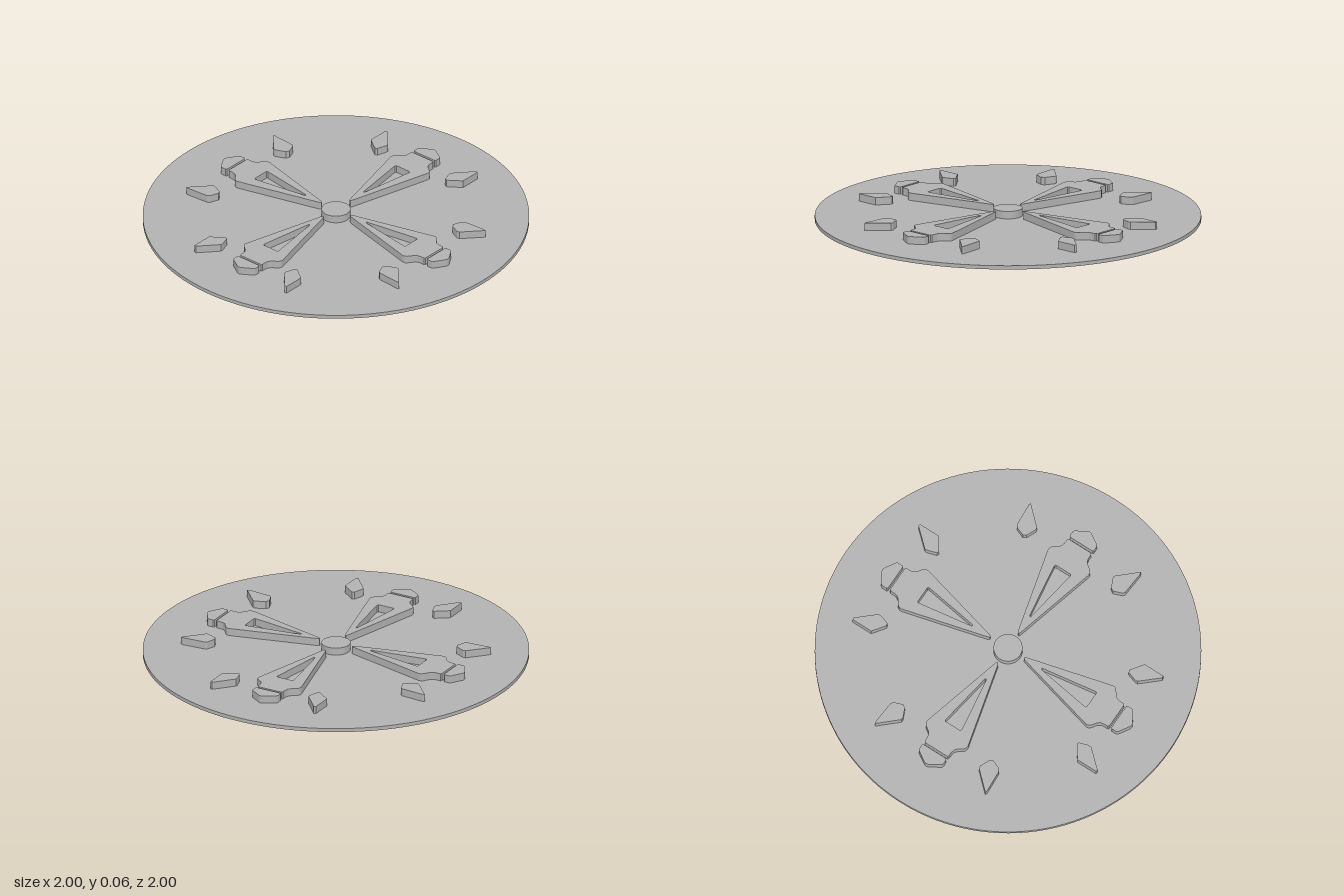
import * as THREE from 'three';

const BASE = 0.02, TOP = 0.06;

export function createModel() {
  const grey = new THREE.MeshStandardMaterial({ color: 0xb2b2b2 });
  grey.name = 'plainGrey';
  const model = new THREE.Group();
  model.name = 'ornamentDisc';

  const add = (parent, name, geometry) => {
    const mesh = new THREE.Mesh(geometry, grey);
    mesh.name = name;
    parent.add(mesh);
    return mesh;
  };
  const points = (list) => list.map(([x, y]) => new THREE.Vector2(x, y));
  // Right half of an outline, closed by its mirror image
  const symmetric = (half) => points([...half, ...half.slice().reverse().map(([x, y]) => [-x, y])]);
  // Raised plate: outline drawn in plan, +y of the outline pointing to -z
  const plate = (outline, hole) => {
    const shape = new THREE.Shape(outline);
    if (hole) shape.holes.push(new THREE.Path(hole));
    return new THREE.ExtrudeGeometry(shape, { depth: TOP - BASE, bevelEnabled: false })
      .rotateX(-Math.PI / 2).translate(0, BASE, 0);
  };
  const cylinder = (radius, y0, y1, sides) =>
    new THREE.CylinderGeometry(radius, radius, y1 - y0, sides).translate(0, (y0 + y1) / 2, 0);

  // Base disc and central hub
  add(model, 'baseDisc', cylinder(1, 0, BASE, 128));
  add(model, 'hub', cylinder(0.075, BASE, TOP, 48));

  // Four tapering arms with a wedge opening, each with a pointed cap
  const armGeometry = plate(
    symmetric([[0.003, 0.1], [0.008, 0.108], [0.127, 0.568], [0.126, 0.582], [0.118, 0.593],
      [0.088, 0.615], [0.079, 0.628], [0.075, 0.645], [0.075, 0.669], [0.07, 0.675]]),
    symmetric([[0.004, 0.21], [0.05, 0.513], [0.045, 0.519]]));
  const capGeometry = plate(
    symmetric([[0.07, 0.688], [0.075, 0.694], [0.075, 0.722], [0.07, 0.73], [0.012, 0.766], [0.003, 0.769]]));
  // Offsets along each arm, starting at the back and going clockwise from above
  [0.011, -0.003, 0, -0.003].forEach((offset, i) => {
    const arm = new THREE.Group();
    arm.name = 'arm' + (i + 1);
    arm.rotation.y = -i * Math.PI / 2;
    add(arm, 'armBody', armGeometry).position.z = -offset;
    add(arm, 'armCap', capGeometry).position.z = -offset;
    model.add(arm);
  });

  // Faceted studs, mirrored into all four quadrants
  const studs = {
    endStud: [[0.315, 0.755], [0.303, 0.757], [0.216, 0.66], [0.216, 0.645], [0.232, 0.595], [0.245, 0.59], [0.315, 0.64]],
    sideStud: [[0.728, 0.342], [0.715, 0.346], [0.59, 0.337], [0.578, 0.328], [0.56, 0.28], [0.57, 0.262], [0.622, 0.239], [0.635, 0.241]],
  };
  for (const [name, outline] of Object.entries(studs))
    for (const sx of [1, -1])
      for (const sz of [1, -1])
        add(model, name, plate(points(outline.map(([x, z]) => [x * sx, z * sz]))));

  return model;
}
